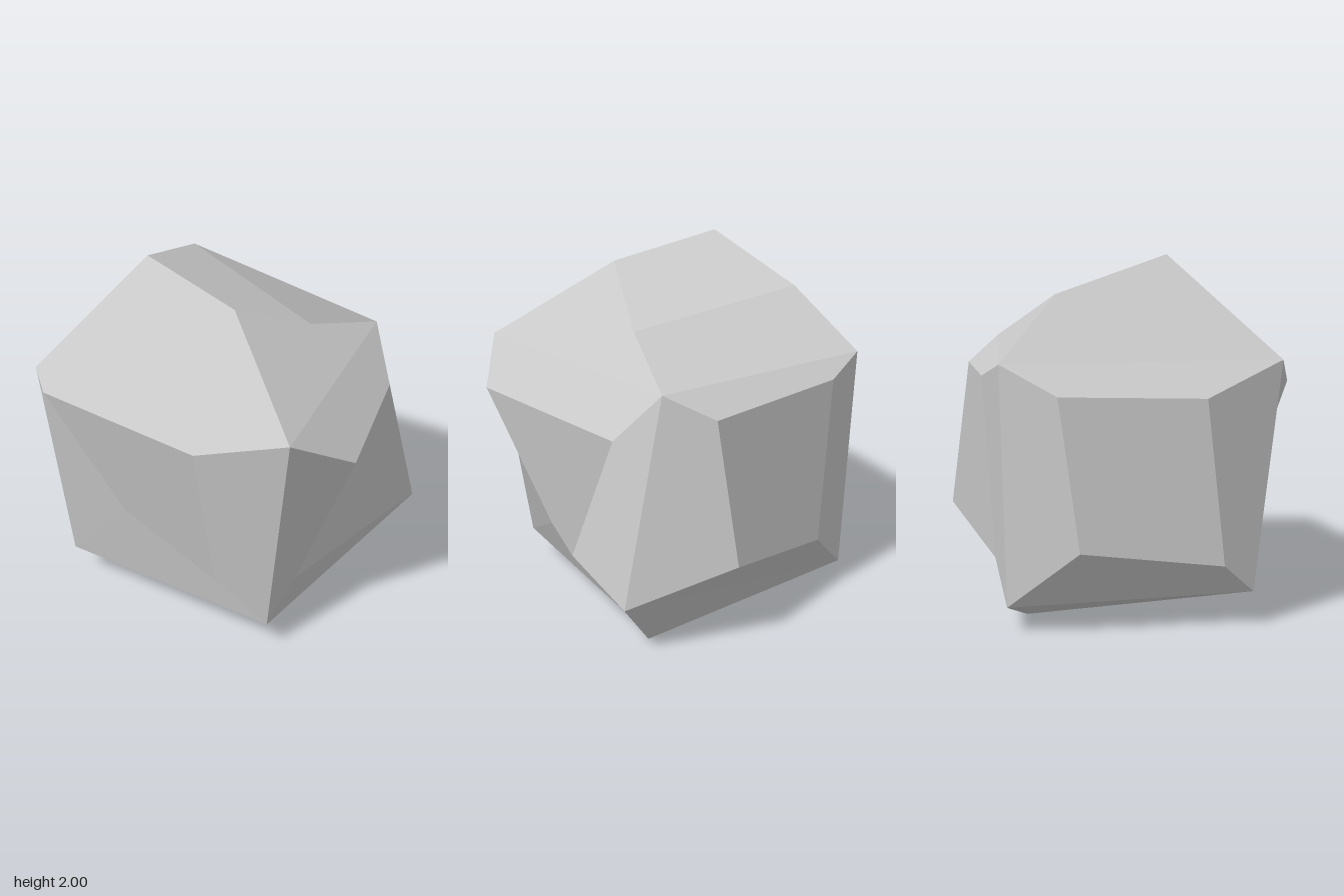
import * as THREE from 'three';

// Eight corners of the rough block: l/r = -x/+x, t/b = top/bottom, f/k = front/back
const C = {
  ltf: [-0.80, 1.47, 0.79], rtf: [0.76, 1.46, 0.74],
  lbf: [-0.72, 0.20, 0.67], rbf: [0.60, 0.19, 0.67],
  ltk: [-0.74, 1.46, -0.69], rtk: [0.54, 1.47, -0.64],
  lbk: [-0.70, 0.15, -0.66], rbk: [0.82, 0.33, -0.69],
};

// Each side: its four corners and the four points of its raised facet,
// both counter-clockwise as seen from outside
const sides = [
  // front
  [['ltf', 'lbf', 'rbf', 'rtf'], [[-0.73, 1.35, 0.83], [-0.30, 0.66, 0.72], [0.30, 0.42, 0.73], [0.30, 1.35, 0.92]]],
  // +x side
  [['rtf', 'rbf', 'rbk', 'rtk'], [[0.98, 1.27, 0.44], [0.62, 0.34, 0.40], [0.95, 0.57, -0.39], [0.73, 1.20, -0.46]]],
  // back
  [['rtk', 'rbk', 'lbk', 'ltk'], [[0.32, 1.34, -0.82], [0.25, 0.52, -0.93], [-0.49, 0.37, -0.71], [-0.50, 1.37, -0.77]]],
  // -x side
  [['ltk', 'lbk', 'lbf', 'ltf'], [[-0.78, 1.29, -0.39], [-0.92, 0.49, -0.29], [-0.78, 0.36, 0.50], [-0.98, 1.30, 0.36]]],
  // top
  [['ltk', 'ltf', 'rtf', 'rtk'], [[-0.53, 1.80, -0.38], [-0.43, 2.00, 0.23], [0.19, 1.89, 0.34], [0.38, 1.64, -0.14]]],
  // bottom
  [['lbf', 'lbk', 'rbk', 'rbf'], [[-0.55, 0.165, 0.55], [-0.66, 0.10, -0.55], [0.57, 0.00, -0.54], [0.35, 0.15, 0.38]]],
];

// One slightly bent facet: two triangles sharing a single facet normal
function addQuad(positions, normals, a, b, c, d) {
  const ac = new THREE.Vector3(...c).sub(new THREE.Vector3(...a));
  const bd = new THREE.Vector3(...d).sub(new THREE.Vector3(...b));
  const normal = ac.cross(bd).normalize().toArray();
  for (const p of [a, b, c, a, c, d]) {
    positions.push(...p);
    normals.push(...normal);
  }
}

export function createModel() {
  const positions = [];
  const normals = [];
  for (const [names, inner] of sides) {
    const outer = names.map((n) => C[n]);
    // raised facet, then the four bevels joining it to the corners
    addQuad(positions, normals, ...inner);
    for (let i = 0; i < 4; i++) {
      const j = (i + 1) % 4;
      addQuad(positions, normals, outer[i], outer[j], inner[j], inner[i]);
    }
  }
  const geometry = new THREE.BufferGeometry();
  geometry.setAttribute('position', new THREE.Float32BufferAttribute(positions, 3));
  geometry.setAttribute('normal', new THREE.Float32BufferAttribute(normals, 3));

  const stone = new THREE.MeshStandardMaterial({ color: 0xc8c8c8 });
  stone.name = 'stoneGrey';
  const rock = new THREE.Mesh(geometry, stone);
  rock.name = 'rock';

  const group = new THREE.Group();
  group.name = 'boulder';
  group.add(rock);
  return group;
}
